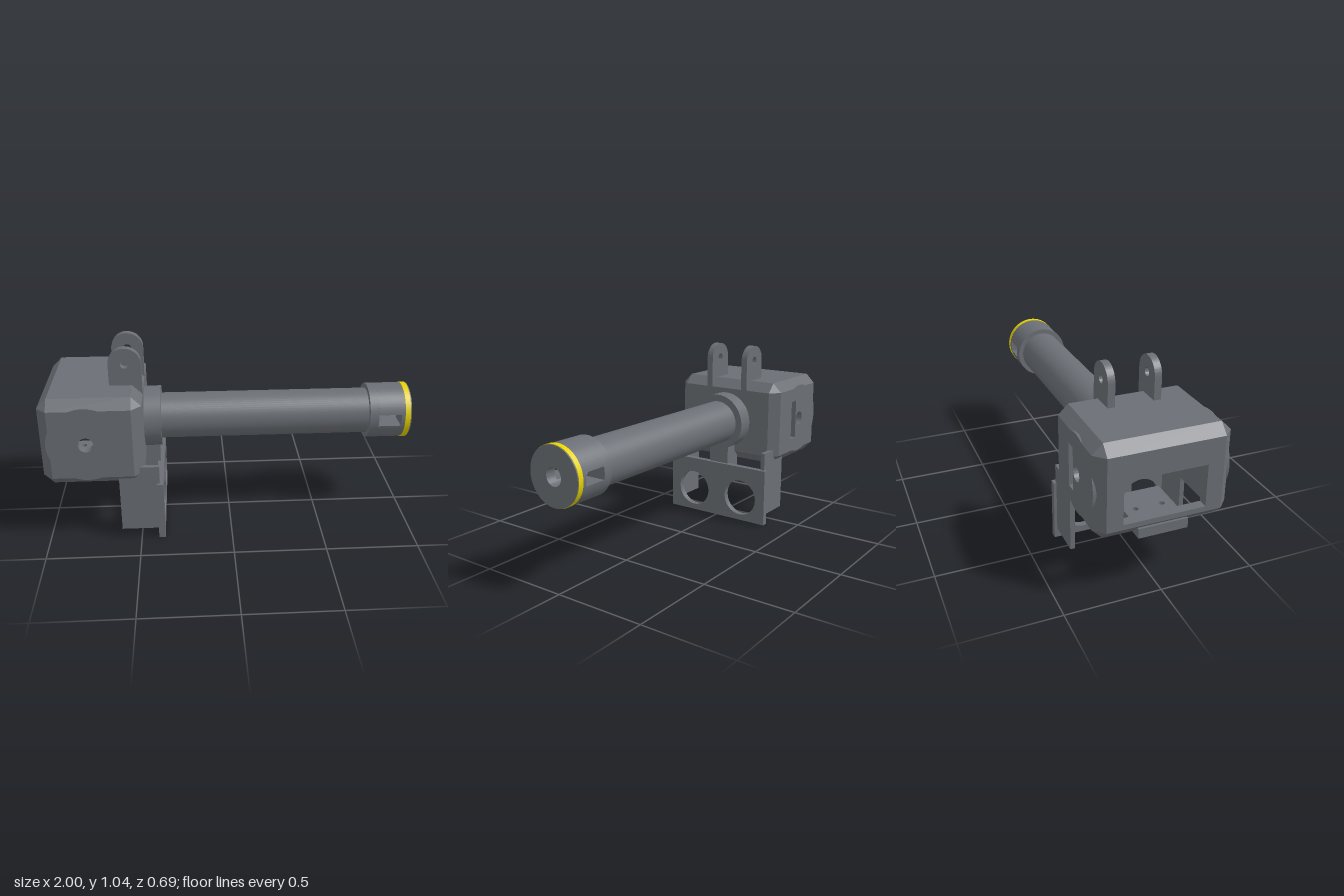
import * as THREE from 'three';
import { toCreasedNormals } from 'three/addons/utils/BufferGeometryUtils.js';
import { ConvexGeometry } from 'three/addons/geometries/ConvexGeometry.js';

const grey = new THREE.MeshStandardMaterial({ color: 0x6b6f75 });
const yellow = new THREE.MeshStandardMaterial({ color: 0xe6d200 });
const AXIS_Y = 0.59, BORE = 0.0475;

export function createModel() {
  const model = new THREE.Group();

  const add = (name, geometry, material = grey, parent = model) => {
    const mesh = new THREE.Mesh(geometry, material);
    mesh.name = name;
    parent.add(mesh);
  };
  const rect = (x0, y0, x1, y1, Type = THREE.Shape) => {
    const s = new Type();
    s.moveTo(x0, y0);
    s.lineTo(x1, y0);
    s.lineTo(x1, y1);
    s.lineTo(x0, y1);
    s.closePath();
    return s;
  };
  const circle = (x, y, r) => new THREE.Path().absarc(x, y, r, 0, Math.PI * 2, false);
  // Extrude a shape between two positions along the x, y or z axis
  const slab = (shape, from, to, axis = 'z', holes = []) => {
    shape.holes.push(...holes);
    const g = new THREE.ExtrudeGeometry(shape, { depth: to - from, bevelEnabled: false, curveSegments: 32 });
    g.translate(0, 0, from);
    if (axis === 'x') g.rotateY(Math.PI / 2);
    if (axis === 'y') g.rotateX(-Math.PI / 2);
    return toCreasedNormals(g, 0.5);
  };
  const block = (x0, x1, y0, y1, z0, z1) =>
    new THREE.BoxGeometry(x1 - x0, y1 - y0, z1 - z0)
      .translate((x0 + x1) / 2, (y0 + y1) / 2, (z0 + z1) / 2);
  // Closed ring profile turned around the barrel axis
  const tube = (x0, x1, rIn, rOut) => {
    const pts = [[rIn, x0], [rOut, x0], [rOut, x1], [rIn, x1], [rIn, x0]].map(p => new THREE.Vector2(...p));
    const g = new THREE.LatheGeometry(pts, 64);
    g.rotateZ(-Math.PI / 2).translate(0, AXIS_Y, 0);
    return toCreasedNormals(g, 0.5);
  };

  // Hollow chamfered housing, open underneath
  const housing = new THREE.Group();
  housing.name = 'housing';
  model.add(housing);
  const C = 0.052;
  const lo = [-0.948, 0.398, -0.293], hi = [-0.519, 0.782, 0.293];
  const pinX = -0.76, pinY = 0.59;
  add('housingTop', block(lo[0], hi[0], hi[1], hi[1] + C, lo[2], hi[2]), grey, housing);
  add('housingFront', slab(rect(lo[2], lo[1], hi[2], hi[1]), hi[0], hi[0] + C, 'x',
    [circle(0, AXIS_Y, BORE)]), grey, housing);
  add('housingBack', slab(rect(lo[2], lo[1], hi[2], hi[1]), lo[0] - C, lo[0], 'x',
    [rect(-0.21, 0.425, 0.21, 0.65, THREE.Path)]), grey, housing);

  // Side walls: a round boss around the pin hole bulges over three chamfers
  const bossR = 0.205;
  const bulge = (shape, angle, distance) => {
    const half = Math.acos(distance / bossR);
    shape.absarc(pinX, pinY, bossR, angle - half, angle + half, false);
  };
  for (const s of [1, -1]) {
    const wall = new THREE.Shape();
    wall.moveTo(hi[0], lo[1]);
    wall.lineTo(hi[0], hi[1]);
    bulge(wall, Math.PI / 2, hi[1] - pinY);
    wall.lineTo(lo[0], hi[1]);
    bulge(wall, Math.PI, pinX - lo[0]);
    wall.lineTo(lo[0], lo[1]);
    bulge(wall, Math.PI * 1.5, pinY - lo[1]);
    wall.closePath();
    const holes = [circle(pinX, pinY, 0.04)];
    if (s < 0) holes.push(rect(-0.717, 0.475, -0.662, 0.705, THREE.Path));
    const z = s > 0 ? [hi[2], hi[2] + C] : [lo[2] - C, lo[2]];
    add('housingSide', slab(wall, ...z, 'z', holes), grey, housing);
  }
  // Chamfer prisms along the twelve edges
  for (let axis = 0; axis < 3; axis++) {
    const u = (axis + 1) % 3, v = (axis + 2) % 3;
    for (const su of [-1, 1]) for (const sv of [-1, 1]) {
      const points = [];
      for (const end of [lo, hi]) {
        const p = [0, 0, 0];
        p[axis] = end[axis];
        p[u] = (su < 0 ? lo : hi)[u];
        p[v] = (sv < 0 ? lo : hi)[v];
        const a = [...p], b = [...p];
        a[u] += su * C;
        b[v] += sv * C;
        points.push(...[p, a, b].map(q => new THREE.Vector3(...q)));
      }
      add('edgeChamfer', new ConvexGeometry(points), grey, housing);
    }
  }
  // Chamfer tips at the eight corners
  for (let i = 0; i < 8; i++) {
    const signs = [0, 1, 2].map(k => ((i >> k) & 1 ? 1 : -1));
    const p = signs.map((s, k) => (s < 0 ? lo : hi)[k]);
    const points = [new THREE.Vector3(...p)];
    signs.forEach((s, k) => {
      const q = [...p];
      q[k] += s * C;
      points.push(new THREE.Vector3(...q));
    });
    add('cornerChamfer', new ConvexGeometry(points), grey, housing);
  }

  // Tray under the housing, with two screw holes
  add('tray', slab(rect(-0.99, -0.128, -0.68, 0.128), 0.323, 0.375, 'y',
    [-0.07, 0.07].map(z => circle(-0.83, z, 0.015))));

  // Pair of rounded lugs on top
  for (const z of [-0.14, 0.102]) {
    const lug = new THREE.Shape();
    lug.moveTo(-0.64, 0.775);
    lug.lineTo(-0.467, 0.775);
    lug.absarc(-0.5535, 0.952, 0.0865, 0, Math.PI, false);
    lug.closePath();
    add('lug', slab(lug, z, z + 0.038, 'z', [circle(-0.5535, 0.952, 0.023)]));
  }

  // Collar and barrel
  add('collar', tube(-0.467, -0.375, BORE, 0.166));
  add('barrel', tube(-0.375, 0.77, BORE, 0.126));

  // End sleeve with a slot running through from side to side
  const H = 0.033, R = 0.153;
  add('sleeveRear', tube(0.77, 0.82, BORE, R));
  add('sleeveFront', tube(0.945, 0.965, BORE, R));
  const a = Math.asin(H / R), b = Math.asin(H / BORE);
  for (const turn of [0, Math.PI]) {
    const half = new THREE.Shape();
    half.absarc(0, 0, R, a, Math.PI - a, false);
    half.absarc(0, 0, BORE, Math.PI - b, b, true);
    half.closePath();
    const g = slab(half, 0.82, 0.945, 'x');
    g.rotateX(turn).translate(0, AXIS_Y, 0);
    add('sleeveHalf', g);
  }
  add('yellowBand', tube(0.965, 0.994, 0.13, 0.155), yellow);
  add('endCore', tube(0.965, 0.994, BORE, 0.13));
  add('endCap', tube(0.994, 1, BORE, R));

  // Bracket hanging below: plate with two round openings, side walls and post
  add('bracketPlate', slab(rect(-0.335, 0, 0.335, 0.335), -0.405, -0.37, 'x',
    [-0.167, 0.167].map(z => circle(z, 0.142, 0.107))));
  for (const s of [1, -1]) {
    const z = [0.295 * s, 0.32 * s].sort((p, q) => p - q);
    add('bracketSide', block(-0.605, -0.39, 0.053, 0.436, ...z));
  }
  add('bracketPost', block(-0.5, -0.39, 0.25, 0.44, -0.065, 0.065));

  return model;
}
